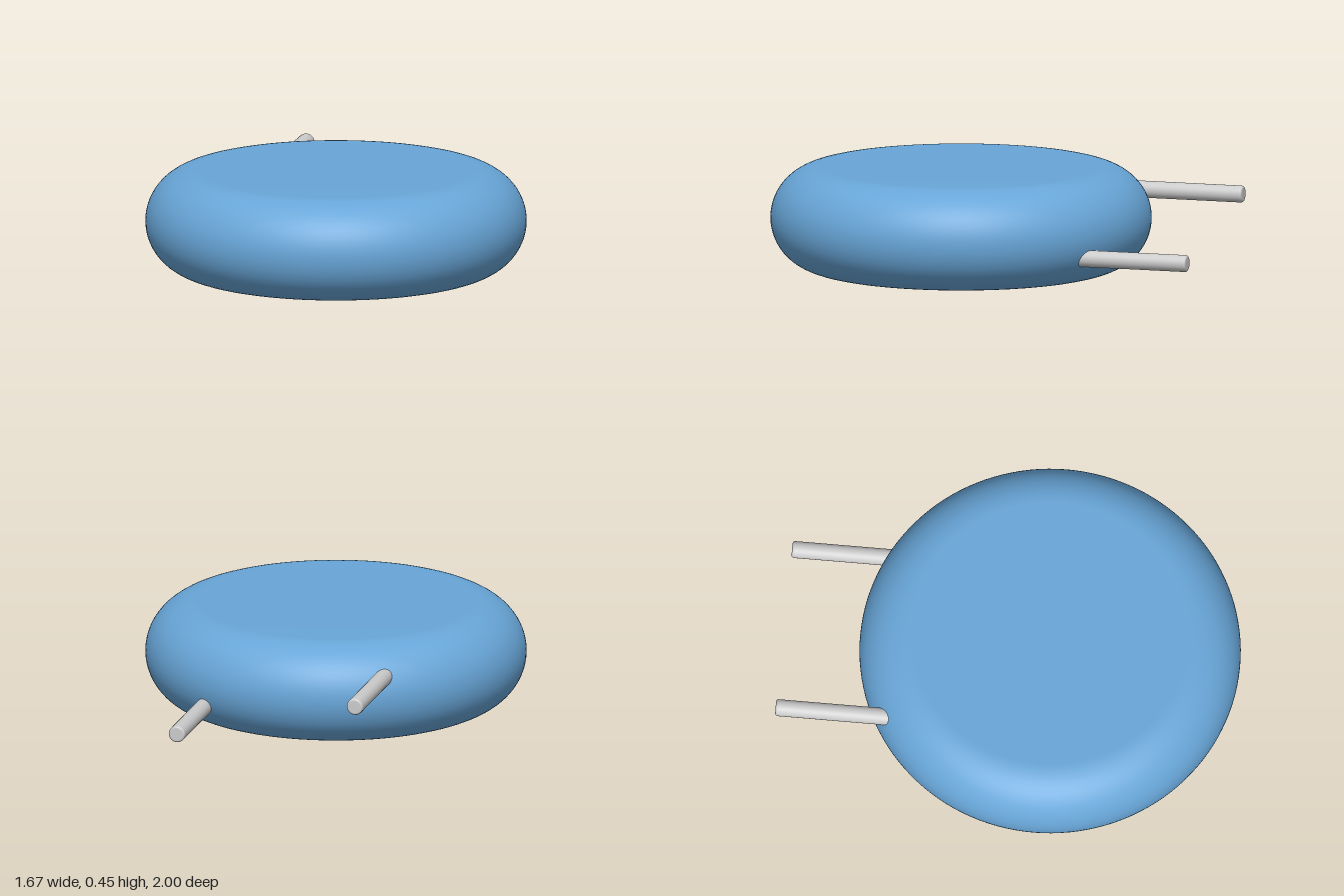
import * as THREE from 'three';

const RADIUS = 0.833, HEIGHT = 0.453, DISC_Z = 0.167;
const ROD_RADIUS = 0.037, ROD_FILLET = 0.01, ROD_INNER_Z = -0.42, ROD_END_Z = -1;

// Arc points for a lathe profile, from angle a0 to a1 (radians)
function arc(cx, cy, r, a0, a1, steps) {
  return Array.from({ length: steps + 1 }, (_, i) => {
    const a = a0 + ((a1 - a0) * i) / steps;
    return new THREE.Vector2(cx + r * Math.cos(a), cy + r * Math.sin(a));
  });
}

export function createModel() {
  const model = new THREE.Group();
  const blue = new THREE.MeshStandardMaterial({ color: 0x68a6d8 });
  const grey = new THREE.MeshStandardMaterial({ color: 0xcccccc });

  // Pill-shaped disc: flat faces with a fully rounded rim
  const r = HEIGHT / 2;
  const bodyProfile = [
    new THREE.Vector2(0, 0),
    ...arc(RADIUS - r, r, r, -Math.PI / 2, Math.PI / 2, 32),
    new THREE.Vector2(0, HEIGHT),
  ];
  const body = new THREE.Mesh(new THREE.LatheGeometry(bodyProfile, 128), blue);
  body.name = 'roundedDisc';
  body.position.z = DISC_Z;
  model.add(body);

  // Two straight rods out of the back, with slightly rounded tips
  const length = ROD_INNER_Z - ROD_END_Z;
  const rodProfile = [
    new THREE.Vector2(0, 0),
    new THREE.Vector2(ROD_RADIUS, 0),
    ...arc(ROD_RADIUS - ROD_FILLET, length - ROD_FILLET, ROD_FILLET, 0, Math.PI / 2, 6),
    new THREE.Vector2(0, length),
  ];
  const rodGeometry = new THREE.LatheGeometry(rodProfile, 32);
  rodGeometry.rotateX(-Math.PI / 2);
  for (const [name, x, y] of [['leftRod', 0.403, 0.137], ['rightRod', -0.403, 0.323]]) {
    const rod = new THREE.Mesh(rodGeometry, grey);
    rod.name = name;
    rod.position.set(x, y, ROD_INNER_Z);
    model.add(rod);
  }

  return model;
}
